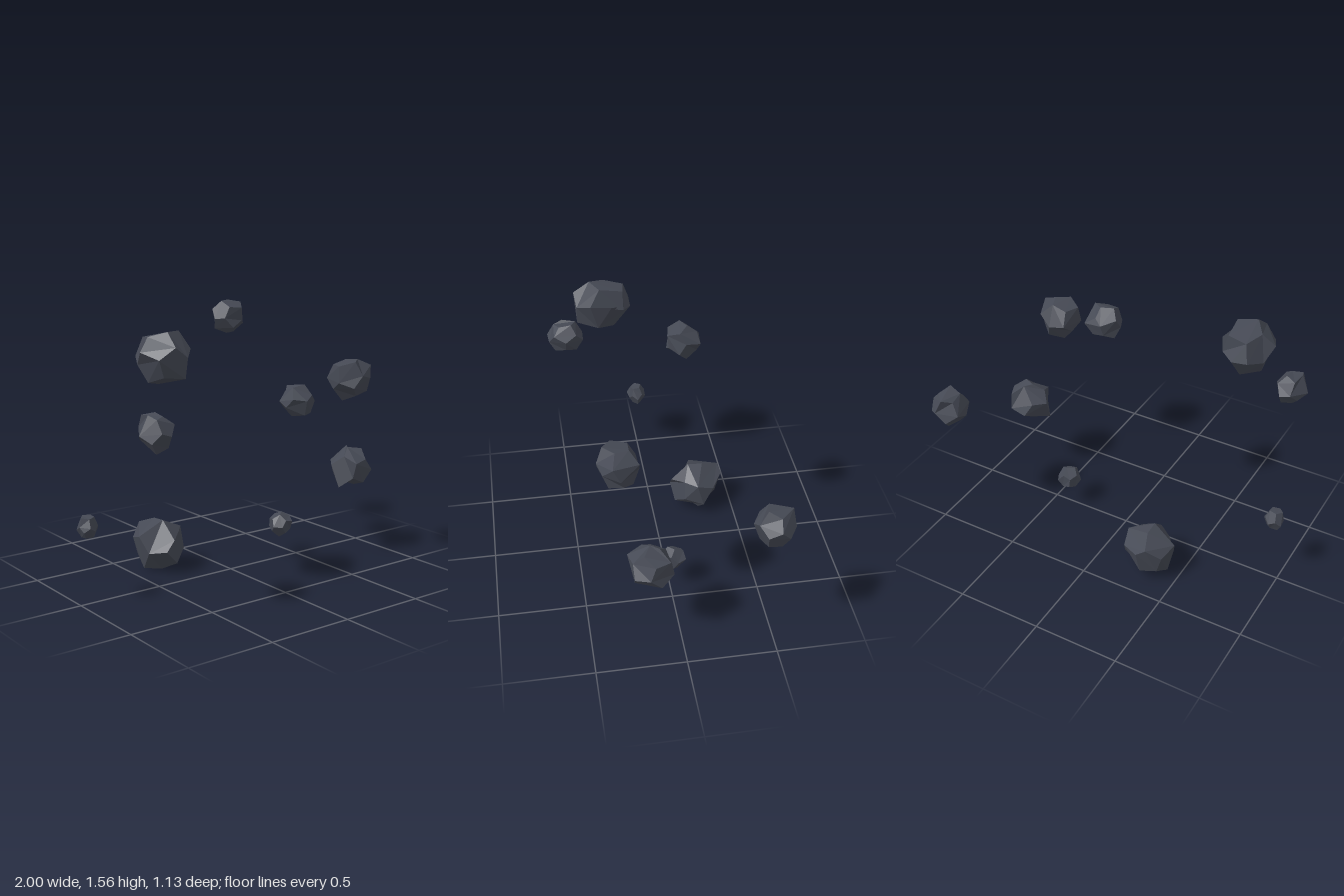
import * as THREE from 'three';
import { mergeVertices } from 'three/addons/utils/BufferGeometryUtils.js';

// Small seeded generator, so the rocks are always the same
function seeded(seed) {
  let s = seed * 7919 + 13;
  return () => {
    s = (s * 16807) % 2147483647;
    return s / 2147483647;
  };
}

// Irregular faceted rock filling a box, with a few corners pulled to given peaks
function rockGeometry(seed, min, max, peaks) {
  const rand = seeded(seed);
  for (let i = 0; i < 5; i++) rand();
  let geo = new THREE.DodecahedronGeometry(1, 0);
  geo.deleteAttribute('normal');
  geo.deleteAttribute('uv');
  geo = mergeVertices(geo, 1e-3);
  geo.rotateX(rand() * 6.28).rotateY(rand() * 6.28).rotateZ(rand() * 6.28);

  // Push every corner in or out a little
  const pos = geo.attributes.position;
  const v = new THREE.Vector3();
  for (let i = 0; i < pos.count; i++) {
    v.fromBufferAttribute(pos, i).multiplyScalar(0.88 + rand() * 0.24);
    pos.setXYZ(i, v.x, v.y, v.z);
  }

  // Fit the rock to its box, centred on the origin
  const box = new THREE.Box3(new THREE.Vector3(...min), new THREE.Vector3(...max));
  const size = box.getSize(new THREE.Vector3());
  const centre = box.getCenter(new THREE.Vector3());
  geo.center();
  geo.computeBoundingBox();
  const own = geo.boundingBox.getSize(new THREE.Vector3());
  geo.scale(size.x / own.x, size.y / own.y, size.z / own.z);

  // Move the best aligned corner onto each peak
  const used = new Set();
  for (const p of peaks) {
    const peak = new THREE.Vector3(...p).sub(centre);
    const dir = peak.clone().normalize();
    let best = -1, bestDot = -2;
    for (let i = 0; i < pos.count; i++) {
      const d = v.fromBufferAttribute(pos, i).normalize().dot(dir);
      if (d > bestDot && !used.has(i)) { best = i; bestDot = d; }
    }
    used.add(best);
    pos.setXYZ(best, peak.x, peak.y, peak.z);
  }
  const flat = geo.toNonIndexed();
  flat.computeVertexNormals();
  return { flat, centre };
}

// Lower and upper corner of each rock, then its prominent peaks
const ROCKS = [
  [[-0.03, 1.375, -0.205], [0.155, 1.56, -0.027], [[0.04, 1.49, -0.205], [0.155, 1.49, -0.12]]],
  [[-0.765, 1.18, 0.08], [-0.48, 1.465, 0.405], [[-0.48, 1.37, 0.2], [-0.59, 1.31, 0.08]]],
  [[-0.905, 0.895, 0.35], [-0.715, 1.09, 0.565], [[-0.86, 1.09, 0.47]]],
  [[0.505, 0.98, 0.2], [0.755, 1.22, 0.42], [[0.755, 1.1, 0.31]]],
  [[0.79, 0.73, -0.565], [1.0, 0.95, -0.35], [[0.88, 0.93, -0.555], [0.88, 0.85, -0.35]]],
  [[0.645, 0.42, 0.045], [0.905, 0.66, 0.285], [[0.79, 0.66, 0.12], [0.66, 0.43, 0.2]]],
  [[-1.0, 0.37, -0.05], [-0.885, 0.49, 0.067], []],
  [[0.32, 0.125, -0.09], [0.455, 0.275, 0.05], []],
  [[-0.465, 0, -0.44], [-0.17, 0.3, -0.125],
    [[-0.17, 0.23, -0.27], [-0.31, 0.22, -0.44], [-0.26, 0, -0.29], [-0.31, 0.2, -0.125], [-0.32, 0.3, -0.23]]],
];

export function createModel() {
  const group = new THREE.Group();
  group.name = 'floatingRocks';
  const stone = new THREE.MeshStandardMaterial({ color: 0x454954, flatShading: true });
  stone.name = 'darkSlate';

  ROCKS.forEach(([min, max, peaks], i) => {
    const { flat, centre } = rockGeometry(i + 1, min, max, peaks);
    const rock = new THREE.Mesh(flat, stone);
    rock.name = `rock${i + 1}`;
    rock.position.copy(centre);
    group.add(rock);
  });
  return group;
}
